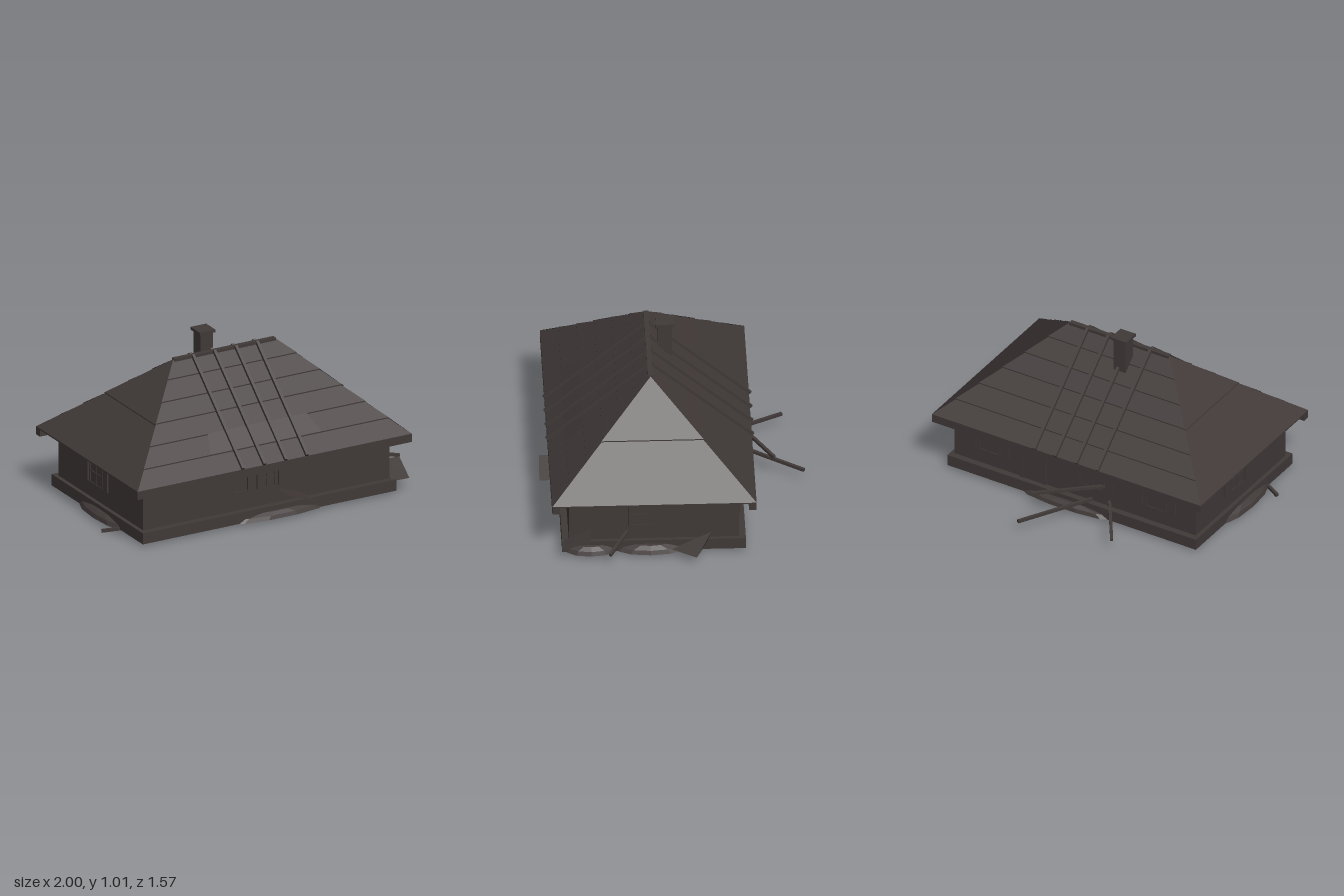
import * as THREE from 'three';

export function createModel() {
  const house = new THREE.Group();
  house.name = 'house';
  const mat = new THREE.MeshStandardMaterial({ color: 0x403938, flatShading: true, side: THREE.DoubleSide });
  mat.name = 'charredWood';
  const CX = -0.0425, CZ = 0.13;

  const add = (name, geo, parent = house) => {
    const m = new THREE.Mesh(geo, mat);
    m.name = name;
    parent.add(m);
    return m;
  };
  // box given by its limits on each axis
  const box = (name, x0, x1, y0, y1, z0, z1, parent) => {
    const m = add(name, new THREE.BoxGeometry(x1 - x0, y1 - y0, z1 - z0), parent);
    m.position.set((x0 + x1) / 2, (y0 + y1) / 2, (z0 + z1) / 2);
    return m;
  };
  // square beam between two points
  const beam = (name, a, b, w, h = w) => {
    const p = new THREE.Vector3(...a), q = new THREE.Vector3(...b);
    const m = add(name, new THREE.BoxGeometry(w, h, p.distanceTo(q)));
    m.position.copy(p).add(q).multiplyScalar(0.5);
    m.lookAt(q);
    return m;
  };
  // surface made of four-cornered faces
  const quads = (name, list) => {
    const pos = [];
    for (const [a, b, c, d] of list) pos.push(...a, ...b, ...c, ...a, ...c, ...d);
    const g = new THREE.BufferGeometry();
    g.setAttribute('position', new THREE.Float32BufferAttribute(pos, 3));
    g.computeVertexNormals();
    return add(name, g);
  };

  // walls and plinth
  box('walls', -0.875, 0.79, 0.03, 0.378, -0.37, 0.63);
  box('plinth', -0.9, 0.815, 0.02, 0.09, -0.41, 0.67);
  box('floorHatch', -0.24, 0, 0.016, 0.022, -0.08, 0.16);

  // hipped roof: ring of corners at height fraction t
  const E = { x: 0.9275, z: 0.6, y: 0.378 }, R = { x: 0.3425, y: 0.9 };
  const at = (t, sx, sz, lift = 0) => [
    CX + sx * (E.x + (R.x - E.x) * t),
    E.y + (R.y - E.y) * t + lift,
    CZ + sz * E.z * (1 - t)];
  quads('roofCore', [
    [at(0, -1, 1), at(0, 1, 1), at(1, 1, 1), at(1, -1, 1)],
    [at(0, 1, -1), at(0, -1, -1), at(1, -1, -1), at(1, 1, -1)],
    [at(0, 1, 1), at(0, 1, -1), at(1, 1, -1), at(1, 1, 1)],
    [at(0, -1, -1), at(0, -1, 1), at(1, -1, 1), at(1, -1, -1)],
    [at(0, -1, -1), at(0, 1, -1), at(0, 1, 1), at(0, -1, 1)]]);

  // overlapping courses: each lower edge stands proud of the one below
  const courses = (name, steps, corner) => {
    const faces = [];
    for (let i = 0; i < steps.length - 1; i++) {
      const [a, b] = [steps[i], steps[i + 1]];
      const l = corner(a, 0.009), r = corner(a, 0.009, 1);
      faces.push([l, r, corner(b, 0.002, 1), corner(b, 0.002)]);
      faces.push([corner(a, 0), corner(a, 0, 1), r, l]);
    }
    quads(name, faces);
  };
  const six = [0, 0.17, 0.34, 0.51, 0.67, 0.84, 1];
  courses('frontRoofCourses', six, (t, h, right) => at(t, right ? 1 : -1, 1, h));
  courses('backRoofCourses', six, (t, h, right) => at(t, right ? -1 : 1, -1, h));
  courses('rightRoofCourses', [0, 0.5, 1], (t, h, right) => at(t, 1, right ? -1 : 1, h));
  courses('leftRoofCourses', [0, 0.5, 1], (t, h, right) => at(t, -1, right ? 1 : -1, h));

  // loose patch on the front slope
  const slope = (x, t) => [x, E.y + (R.y - E.y) * t + 0.012, CZ + E.z * (1 - t)];
  quads('roofPatch', [[slope(-0.42, 0.17), slope(0.33, 0.17), slope(0.29, 0.34), slope(-0.38, 0.34)]]);

  // ridge, eave boards and battens
  box('ridgeBoard', -0.385, 0.3, 0.888, 0.908, CZ - 0.015, CZ + 0.015);
  for (const s of [-1, 1]) {
    const z = CZ + s * 0.578;
    box('eaveBoard', -0.97, 0.885, 0.335, 0.38, z - 0.0225, z + 0.0225);
    for (const x of [-0.26, -0.115, 0.03, 0.173]) {
      beam('roofBatten', [x, 0.394, CZ + s * 0.608], [x, 0.908, CZ + s * 0.012], 0.018);
    }
  }

  // chimney
  box('chimneyStack', -0.167, -0.083, 0.72, 1.0, -0.01, 0.072);
  box('chimneyCap', -0.18, -0.075, 0.995, 1.012, -0.025, 0.085);

  // shuttered window, built facing +z
  const windowAt = (x, z, turn, w = 0.14, y0 = 0.185, y1 = 0.335) => {
    const g = new THREE.Group();
    g.name = 'window';
    g.position.set(x, 0, z);
    g.rotation.y = turn;
    const h = w / 2;
    box('pane', -h, h, y0, y1, -0.004, 0.003, g);
    for (const s of [-1, 1]) {
      box('frameSide', s * h - 0.006, s * h + 0.006, y0, y1, 0, 0.009, g);
      box('shutter', s * (h + 0.045) - 0.025, s * (h + 0.045) + 0.025, y0, y1 + 0.005, 0, 0.012, g);
    }
    box('mullion', -0.004, 0.004, y0, y1, 0, 0.007, g);
    for (const y of [y0, (y0 + y1) / 2, y1]) box('frameRail', -h, h, y - 0.004, y + 0.004, 0, 0.008, g);
    house.add(g);
  };
  windowAt(-0.042, 0.63, 0, 0.12, 0.2, 0.33);
  windowAt(0.79, 0.205, Math.PI / 2);
  windowAt(-0.875, 0.08, -Math.PI / 2);
  for (const x of [0.55, -0.17, -0.6]) windowAt(x, -0.37, Math.PI);

  // back door
  box('door', 0.17, 0.32, 0.09, 0.335, -0.376, -0.365);
  for (const x of [0.165, 0.325]) box('doorPost', x - 0.008, x + 0.008, 0.09, 0.345, -0.38, -0.365);

  // fallen poles
  const poles = [
    [[-0.28, 0.12, -0.37], [-0.48, 0.09, -0.67]],
    [[-0.16, 0.1, -0.37], [0.1, 0.08, -0.78]],
    [[-0.25, 0.22, -0.37], [0.105, 0.178, -0.605]],
    [[0.79, 0.14, 0.285], [0.995, 0.112, 0.395]],
    [[-0.88, 0.026, 0.4], [-0.995, 0.012, 0.345]]];
  for (const [a, b] of poles) beam('fallenPole', a, b, 0.018);
  beam('looseSlat', [-0.265, 0.2, 0.634], [-0.17, 0.206, 0.634], 0.008);

  // fallen sheets leaning on the walls
  quads('frontSheet', [[[0.03, 0.18, 0.63], [0.03, 0.18, 0.775], [0.2, 0.115, 0.78], [0.2, 0.115, 0.63]]]);
  quads('rightRearSheet', [[[0.79, 0.125, -0.21], [0.88, 0.125, -0.185], [0.965, 0.06, -0.115], [0.87, 0.06, 0.03]]]);
  quads('rightFrontSheet', [[[0.79, 0.16, 0.5], [0.925, 0.16, 0.51], [0.9, 0.085, 0.675], [0.79, 0.085, 0.67]]]);

  // low rubble heaps along the plinth
  const heap = (x, z, rx, ry, rz) => {
    const m = add('rubbleHeap', new THREE.SphereGeometry(1, 10, 3, 0, Math.PI * 2, 0, Math.PI / 2));
    m.scale.set(rx, ry, rz);
    m.position.set(x, 0.02, z);
  };
  heap(0.03, 0.65, 0.31, 0.045, 0.06);
  heap(0, -0.4, 0.31, 0.045, 0.05);
  heap(0.8, 0.15, 0.07, 0.05, 0.2);
  heap(0.8, 0.5, 0.07, 0.05, 0.15);
  heap(-0.885, 0.16, 0.06, 0.05, 0.25);

  return house;
}
